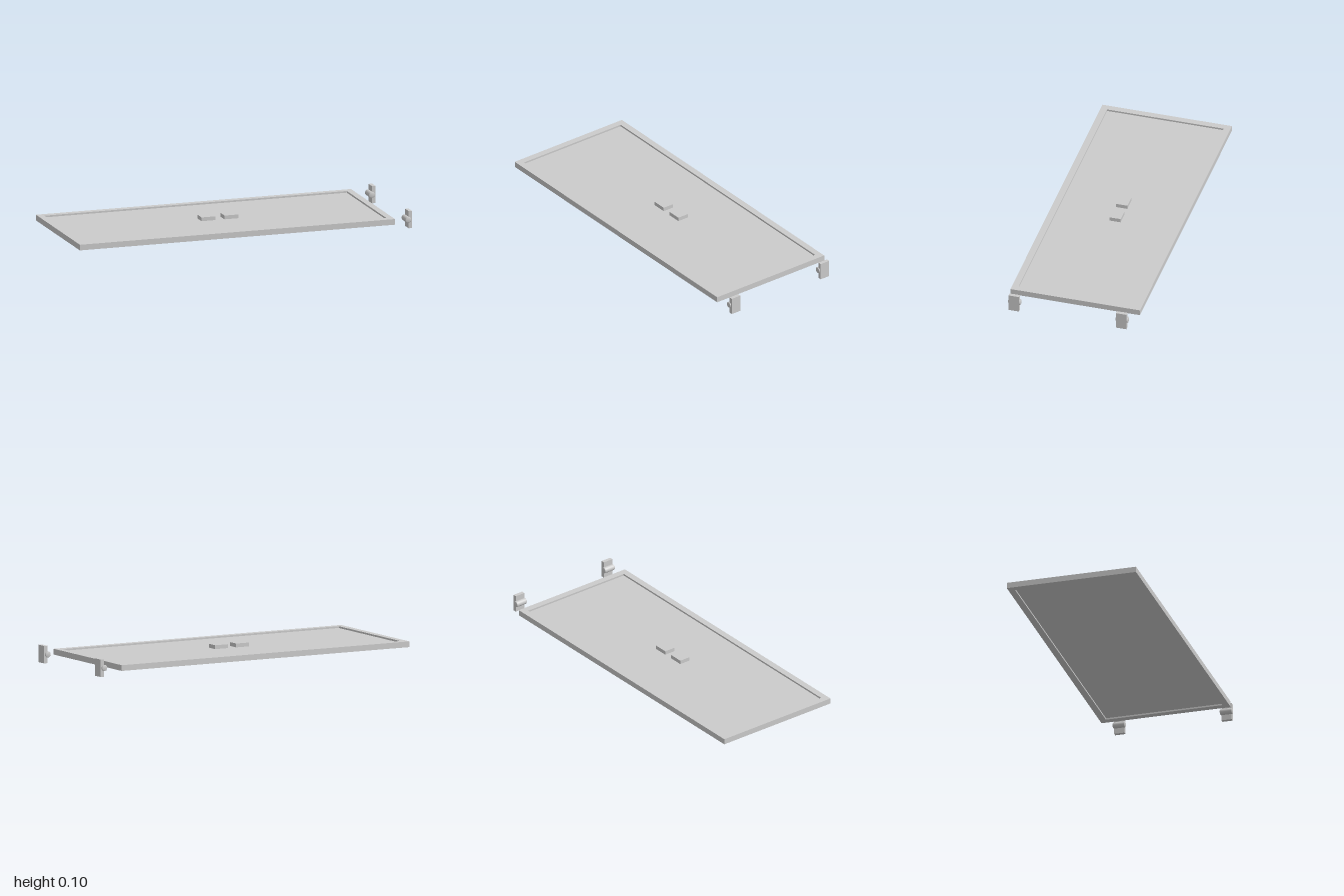
import * as THREE from 'three';

const material = new THREE.MeshStandardMaterial({ color: 0xcccccc });

function add(parent, name, geometry, x, y, z) {
  const mesh = new THREE.Mesh(geometry, material);
  mesh.name = name;
  mesh.position.set(x, y, z);
  parent.add(mesh);
  return mesh;
}

function rectangle(PathType, w, h) {
  return new PathType([[-w, -h], [w, -h], [w, h], [-w, h]].map(([x, y]) => new THREE.Vector2(x / 2, y / 2)));
}

export function createModel() {
  const model = new THREE.Group();
  const length = 1.89, width = 0.764, border = 0.038, centreX = -0.055;

  // Raised rectangular rim
  const rim = rectangle(THREE.Shape, length, width);
  rim.holes.push(rectangle(THREE.Path, length - 2 * border, width - 2 * border));
  const rimGeometry = new THREE.ExtrudeGeometry(rim, { depth: 0.033, bevelEnabled: false });
  rimGeometry.rotateX(-Math.PI / 2);
  add(model, 'rim', rimGeometry, centreX, 0.033, 0);

  // Panel set back from both faces of the rim
  add(model, 'panel', new THREE.BoxGeometry(length - 2 * border, 0.014, width - 2 * border), centreX, 0.049, 0);

  // Two small blocks resting on the panel
  for (const x of [-0.108, 0.03]) {
    add(model, 'block', new THREE.BoxGeometry(0.084, 0.022, 0.067), x, 0.067, 0);
  }

  // Hinges: an upright plate with a horizontal barrel on its inner face
  const r = 0.018, half = 0.036;
  const profile = [[0, -half], [r - 0.004, -half], [r, -half + 0.004], [r, half - 0.004], [r - 0.004, half], [0, half]]
    .map(([x, y]) => new THREE.Vector2(x, y));
  const barrel = new THREE.LatheGeometry(profile, 24);
  barrel.rotateX(Math.PI / 2);
  for (const z of [0.331, -0.303]) {
    const hinge = new THREE.Group();
    hinge.name = 'hinge';
    hinge.position.z = z;
    add(hinge, 'hingePlate', new THREE.BoxGeometry(0.021, 0.1, 0.061), 0.9895, 0.05, 0);
    add(hinge, 'hingeBarrel', barrel, 0.976, 0.05, 0);
    model.add(hinge);
  }
  return model;
}
